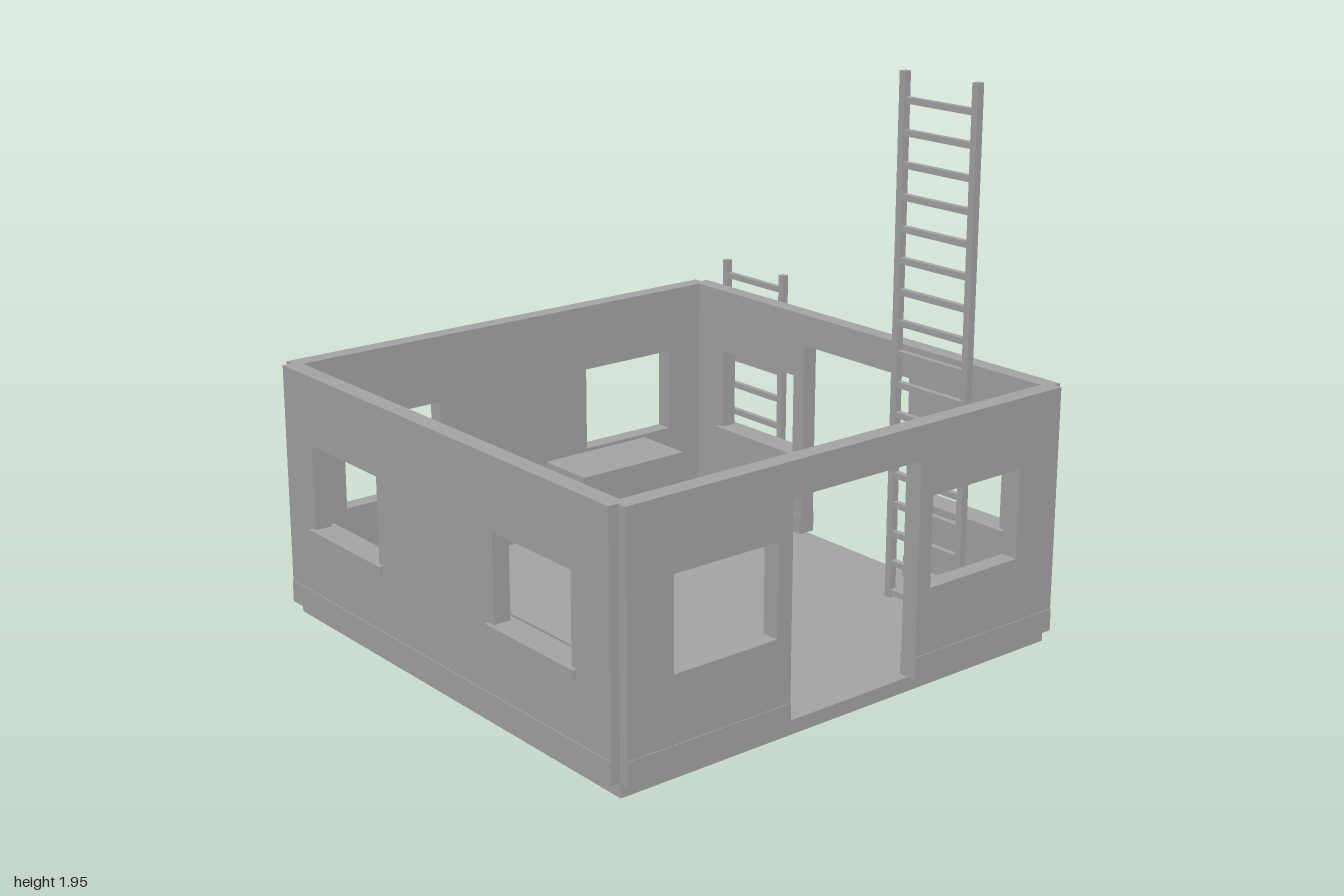
import * as THREE from 'three';

const FLOOR = 0.05, TOP = 0.93, THICK = 0.063;
const WIN_Y = [0.36, 0.68], DOOR_TOP = 0.81;

export function createModel() {
  const model = new THREE.Group();
  model.name = 'openRoofHouse';
  const grey = new THREE.MeshStandardMaterial({ color: 0xa3a3a3 });
  grey.name = 'plain grey';

  // Box given by its min and max on each axis
  function box(name, [x0, x1], [y0, y1], [z0, z1], parent = model) {
    const mesh = new THREE.Mesh(new THREE.BoxGeometry(x1 - x0, y1 - y0, z1 - z0), grey);
    mesh.position.set((x0 + x1) / 2, (y0 + y1) / 2, (z0 + z1) / 2);
    mesh.name = name;
    parent.add(mesh);
    return mesh;
  }

  // Upright wall along local x, with window holes, an optional doorway and a skirting band
  function wall(name, [a, b], windows, door) {
    const group = new THREE.Group();
    group.name = name;
    const pts = [[a, FLOOR]];
    if (door) pts.push([door[0], FLOOR], [door[0], DOOR_TOP], [door[1], DOOR_TOP], [door[1], FLOOR]);
    pts.push([b, FLOOR], [b, TOP], [a, TOP]);
    const shape = new THREE.Shape(pts.map(([x, y]) => new THREE.Vector2(x, y)));
    for (const [l, r] of windows) {
      const hole = [[l, WIN_Y[0]], [l, WIN_Y[1]], [r, WIN_Y[1]], [r, WIN_Y[0]]];
      shape.holes.push(new THREE.Path(hole.map(([x, y]) => new THREE.Vector2(x, y))));
    }
    const panel = new THREE.Mesh(
      new THREE.ExtrudeGeometry(shape, { depth: THICK, bevelEnabled: false }), grey);
    panel.name = name + 'Panel';
    group.add(panel);
    const runs = door ? [[a, door[0]], [door[1], b]] : [[a, b]];
    for (const run of runs) box('skirting', run, [FLOOR, 0.13], [-0.003, THICK + 0.003], group);
    model.add(group);
    return group;
  }

  // Floor slab
  box('floor', [-0.93, 0.93], [0, FLOOR], [-0.91, 0.95]);

  // Front and back walls
  const endWindows = [[-0.75, -0.335], [0.335, 0.74]];
  wall('frontWall', [-0.927, 0.927], endWindows).position.z = 0.922;
  wall('backWall', [-0.927, 0.927], endWindows, [-0.28, 0.28]).position.z = -0.94;

  // Side walls: local x runs towards the back
  const sideWindows = [[-0.77, -0.36], [0.31, 0.72]];
  const left = wall('leftWall', [-0.95, 0.91], sideWindows, [-0.3, 0.25]);
  left.position.x = 0.897;
  const right = wall('rightWall', [-0.95, 0.91], sideWindows);
  right.position.x = -0.96;
  for (const side of [left, right]) side.rotation.y = Math.PI / 2;

  // Window sills
  for (const span of [[-0.77, -0.31], [0.305, 0.765]]) {
    box('frontSill', span, [0.34, 0.37], [0.9, 1.0]);
    box('backSill', span, [0.34, 0.37], [-0.957, -0.86]);
  }

  // Posts on the back wall
  for (const span of [[-0.895, -0.84], [0.83, 0.885]]) {
    box('backPost', span, [0, 0.82], [-0.973, -0.935]);
  }

  // Ladders: two rails and evenly spaced rungs counted down from the top one
  function ladder(name, [x0, x1], [y0, y1], [z0, z1], topRung) {
    const group = new THREE.Group();
    group.name = name;
    const rail = 0.026, step = 0.1113;
    box('rail', [x0, x0 + rail], [y0, y1], [z0, z1], group);
    box('rail', [x1 - rail, x1], [y0, y1], [z0, z1], group);
    for (let y = topRung; y > y0 + 0.012; y -= step) {
      box('rung', [x0 + rail, x1 - rail], [y - 0.011, y + 0.011], [z0 + 0.003, z1 - 0.003], group);
    }
    model.add(group);
  }
  ladder('tallLadder', [0.375, 0.735], [FLOOR, 1.95], [-0.716, -0.688], 1.852);
  ladder('shortLadder', [-0.867, -0.51], [0, 1.02], [-1.0, -0.974], 0.96);

  // Furniture blocks
  box('sideChest', [-0.865, -0.625], [FLOOR, 0.36], [-0.57, -0.09]);
  box('cupboard', [-0.5, -0.1], [FLOOR, 0.6], [0.725, 0.88]);
  box('frontChest', [0.11, 0.59], [FLOOR, 0.36], [0.635, 0.875]);

  return model;
}
